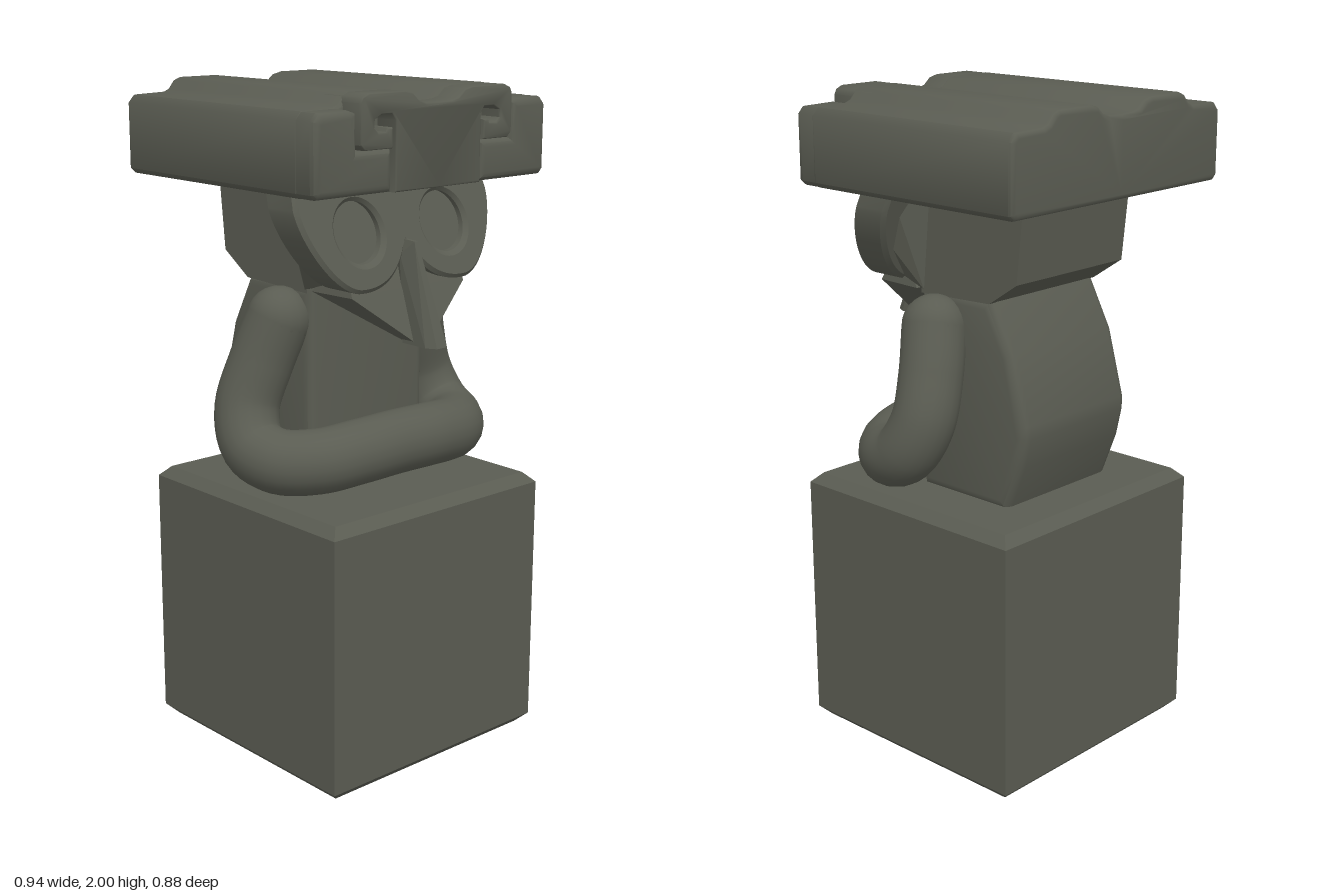
import * as THREE from 'three';
import { toCreasedNormals } from 'three/addons/utils/BufferGeometryUtils.js';
import { ConvexGeometry } from 'three/addons/geometries/ConvexGeometry.js';
import { RoundedBoxGeometry } from 'three/addons/geometries/RoundedBoxGeometry.js';

const stone = new THREE.MeshStandardMaterial({ color: 0x5a5c52 });
stone.name = 'dark stone';

const toShape = (pts) => new THREE.Shape(pts.map(([x, y]) => new THREE.Vector2(x, y)));

// Full outline from its +x half, listed bottom centre to top centre
const mirrored = (half) => [...half, ...half.slice().reverse().filter(([x]) => x > 0).map(([x, y]) => [-x, y])];

// Bevelled extrusion that keeps its outline and runs from z0 to z1
function slab(shape, z0, z1, bevel, segments = 3) {
  const geo = new THREE.ExtrudeGeometry(shape, {
    depth: z1 - z0 - 2 * bevel, bevelEnabled: bevel > 0, bevelThickness: bevel,
    bevelSize: bevel, bevelOffset: -bevel, bevelSegments: segments, curveSegments: 24,
  });
  return geo.translate(0, 0, z0 + bevel);
}

// Side profile of [z, y] points, extruded across the width
function sideSlab(profile, halfWidth, bevel, segments) {
  const shape = toShape(profile.map(([z, y]) => [-z, y]));
  return slab(shape, -halfWidth, halfWidth, bevel, segments).rotateY(Math.PI / 2);
}

// Lean the face so that it comes forward toward the chin
function lean(geo) {
  const p = geo.attributes.position;
  for (let i = 0; i < p.count; i++) p.setZ(i, p.getZ(i) + 0.23 + 0.36 * (1.72 - p.getY(i)));
  geo.computeVertexNormals();
  return geo;
}

// Convex solid from points, each mirrored across x = 0
function hull(points) {
  return new ConvexGeometry(points.flatMap(([x, y, z]) =>
    (x === 0 ? [0] : [x, -x]).map((sx) => new THREE.Vector3(sx, y, z))));
}

export function createModel() {
  const group = new THREE.Group();
  const add = (name, geo, crease = 0.6) => {
    const mesh = new THREE.Mesh(crease ? toCreasedNormals(geo, crease) : geo, stone);
    mesh.name = name;
    group.add(mesh);
    return mesh;
  };

  // Chamfered cube pedestal
  const c = 0.41, k = 0.38;
  add('pedestal', hull([
    [k, 0, -0.35], [k, 0, 0.41], [k, 0.83, -0.35], [k, 0.83, 0.41],
    [c, 0.03, -0.38], [c, 0.03, 0.44], [c, 0.8, -0.38], [c, 0.8, 0.44],
  ]), 0.2);

  // Torso with a bowed back
  add('torso', sideSlab([
    [0.13, 0.82], [0.13, 1.44], [-0.15, 1.44], [-0.23, 1.29], [-0.285, 1.09],
    [-0.285, 1.05], [-0.265, 0.96], [-0.21, 0.82],
  ], 0.23, 0.03), 0.7);

  // Head block
  add('head', sideSlab([
    [0.12, 1.42], [0.12, 1.74], [-0.28, 1.74], [-0.255, 1.5], [-0.15, 1.43],
  ], 0.23, 0), 0.2);

  // Cheeks flaring from the head out to the mask
  add('cheeks', hull([
    [0.23, 1.74, 0.08], [0.23, 1.43, 0.11], [0.34, 1.74, 0.13],
    [0.33, 1.6, 0.18], [0.22, 1.47, 0.24],
  ]), 0.2);

  // Pointed chin
  add('chin', hull([
    [0.2, 1.55, 0.24], [0.23, 1.43, 0.14], [0.22, 1.43, 0.3],
    [0.1, 1.4, 0.16], [0.02, 1.28, 0.31], [0.02, 1.28, 0.36],
  ]), 0.2);

  // Goggle mask with two round eye openings
  const mask = new THREE.Shape();
  mask.moveTo(0, 1.56);
  mask.bezierCurveTo(0.06, 1.45, 0.15, 1.44, 0.21, 1.445);
  mask.bezierCurveTo(0.3, 1.46, 0.375, 1.6, 0.375, 1.68);
  mask.lineTo(0.365, 1.75);
  mask.lineTo(-0.365, 1.75);
  mask.lineTo(-0.375, 1.68);
  mask.bezierCurveTo(-0.375, 1.6, -0.3, 1.46, -0.21, 1.445);
  mask.bezierCurveTo(-0.15, 1.44, -0.06, 1.45, 0, 1.56);
  for (const s of [-1, 1]) {
    mask.holes.push(new THREE.Path().absarc(s * 0.165, 1.605, 0.085, 0, Math.PI * 2, true));
    const eye = new THREE.Shape().absarc(s * 0.165, 1.605, 0.1, 0, Math.PI * 2);
    add(s > 0 ? 'leftEye' : 'rightEye', lean(slab(eye, -0.1, -0.03, 0)), 0.4);
  }
  add('mask', lean(slab(mask, -0.13, 0, 0.012, 1)), 0.5);

  // Long narrow beak
  add('beak', hull([
    [0.006, 1.575, 0.25], [0.006, 1.57, 0.325], [0.035, 1.28, 0.31],
    [0.037, 1.28, 0.405], [0.02, 1.28, 0.435], [0.02, 1.53, 0.28],
  ]), 0.2);

  // Both arms as one folded tube with round shoulders
  const half = [[0.265, 1.34, 0.035], [0.31, 1.21, 0.005], [0.355, 1.08, -0.005],
    [0.375, 0.985, 0.045], [0.355, 0.95, 0.13], [0.27, 0.95, 0.21], [0.14, 0.962, 0.245]];
  const path = [...half, [0, 0.966, 0.25], ...half.slice().reverse().map(([x, y, z]) => [-x, y, z])];
  const curve = new THREE.CatmullRomCurve3(path.map((p) => new THREE.Vector3(...p)));
  add('foldedArms', new THREE.TubeGeometry(curve, 90, 0.095, 20), 0);
  for (const s of [-1, 1]) {
    const shoulder = add(s > 0 ? 'leftShoulder' : 'rightShoulder', new THREE.SphereGeometry(0.095, 20, 14), 0);
    shoulder.position.set(s * 0.265, 1.34, 0.035);
  }

  // Wide headdress with ridges running front to back
  add('headdress', slab(toShape(mirrored([
    [0, 1.73], [0.43, 1.73], [0.445, 1.745], [0.445, 1.935], [0.425, 1.957], [0.32, 1.96],
    [0.3, 1.968], [0.28, 1.992], [0.26, 2], [0.13, 2], [0.1, 1.993], [0.075, 1.972], [0.05, 1.966], [0, 1.964],
  ])), -0.435, 0.34, 0.015), 0.8);

  // Corner blocks stepping under the scrolls
  for (const s of [-1, 1]) {
    const pts = [[0.168, 1.731], [0.43, 1.731], [0.444, 1.745], [0.444, 1.935],
      [0.425, 1.956], [0.32, 1.958], [0.295, 1.95], [0.293, 1.848], [0.168, 1.848]];
    add(s > 0 ? 'leftCornerBlock' : 'rightCornerBlock',
      slab(toShape(pts.map(([x, y]) => [s * x, y])), 0.25, 0.405, 0.022), 0.8);
  }

  // Front panel whose upper corners curl into scrolls
  add('scrollPanel', slab(toShape(mirrored([
    [0, 1.731], [0.165, 1.731], [0.165, 1.925], [0.178, 1.942], [0.215, 1.942], [0.238, 1.93],
    [0.24, 1.908], [0.226, 1.896], [0.2, 1.896], [0.194, 1.906], [0.174, 1.906], [0.172, 1.85],
    [0.275, 1.85], [0.29, 1.865], [0.29, 1.975], [0.282, 1.99], [0.26, 1.999], [0.13, 1.999],
    [0.1, 1.992], [0.075, 1.971], [0.05, 1.965], [0, 1.963],
  ])), 0.25, 0.412, 0.007), 0.8);

  return group;
}
